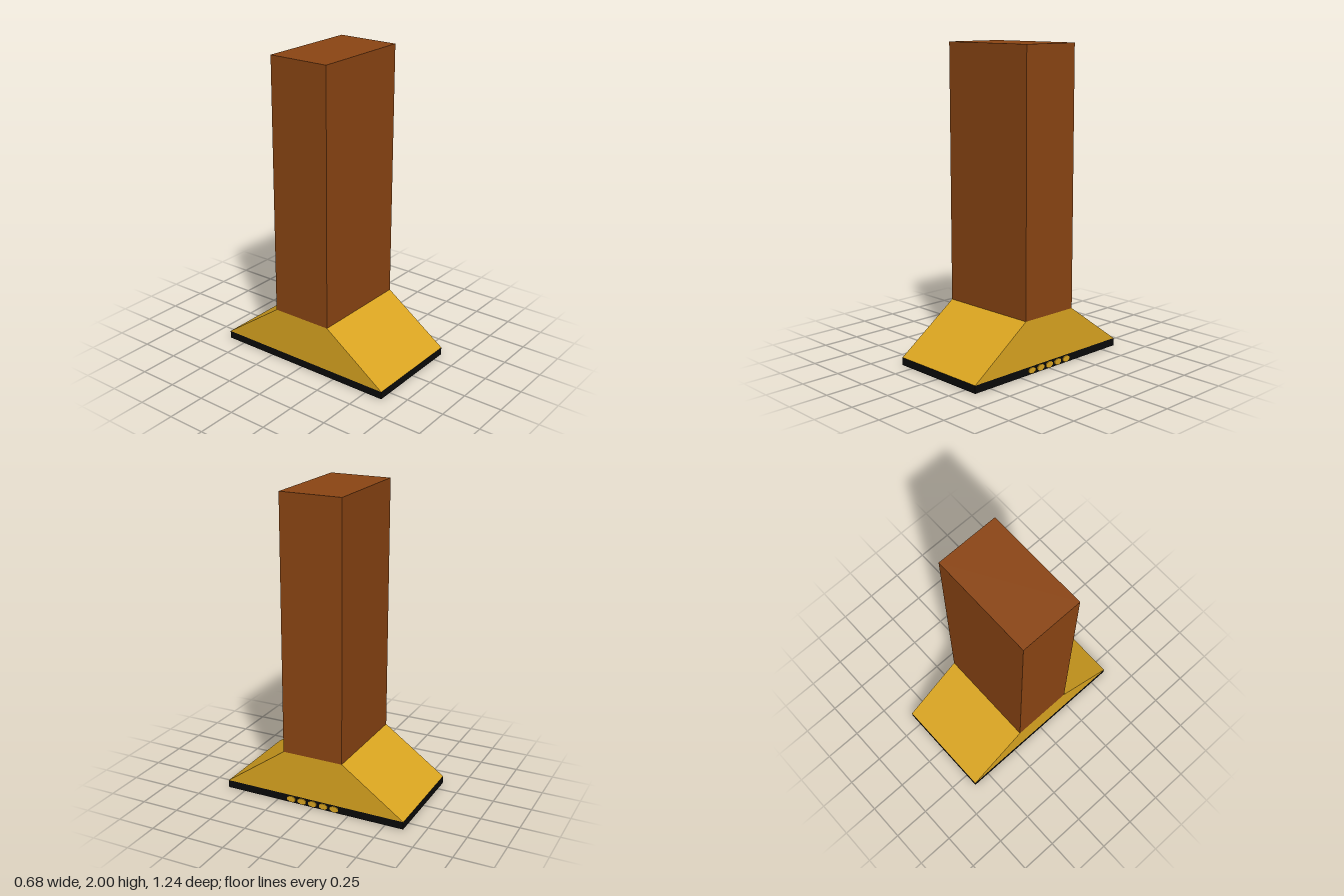
import * as THREE from 'three';

export function createModel() {
  const model = new THREE.Group();
  const mat = (name, color) => {
    const m = new THREE.MeshStandardMaterial({ color });
    m.name = name;
    return m;
  };
  const brown = mat('brown', 0x8b4513);
  const gold = mat('gold', 0xdaa520);
  const black = mat('black', 0x0a0a0a);

  // The body sits slightly towards -x because the studs stand out on +x
  const left = 0.336, right = -0.342;
  const width = left - right, midX = (left + right) / 2;

  const add = (name, geometry, material, x, y, z) => {
    const mesh = new THREE.Mesh(geometry, material);
    mesh.name = name;
    mesh.position.set(x, y, z);
    model.add(mesh);
    return mesh;
  };

  // Upright block and thin base slab
  add('upright', new THREE.BoxGeometry(width, 1.655, 0.408), brown, midX, 1.1725, 0);
  add('baseSlab', new THREE.BoxGeometry(width, 0.05, 1.24), black, midX, 0.025, 0);

  // Sloped foot: trapezoid in z/y, extruded along x
  const profile = new THREE.Shape([
    new THREE.Vector2(-0.62, 0.05),
    new THREE.Vector2(0.62, 0.05),
    new THREE.Vector2(0.204, 0.345),
    new THREE.Vector2(-0.204, 0.345),
  ]);
  const foot = new THREE.ExtrudeGeometry(profile, { depth: width, bevelEnabled: false });
  foot.rotateY(Math.PI / 2);
  add('slopedFoot', foot, gold, right, 0, 0);

  // Row of five flat studs on the left edge of the slab
  const stud = new THREE.CylinderGeometry(1, 1, 0.006, 8);
  stud.rotateY(Math.PI / 8);
  stud.rotateZ(-Math.PI / 2);
  stud.scale(1, 0.02, 0.031);
  for (let i = -2; i <= 2; i++) {
    add('stud', stud, gold, left + 0.003, 0.025, i * 0.076);
  }
  return model;
}
